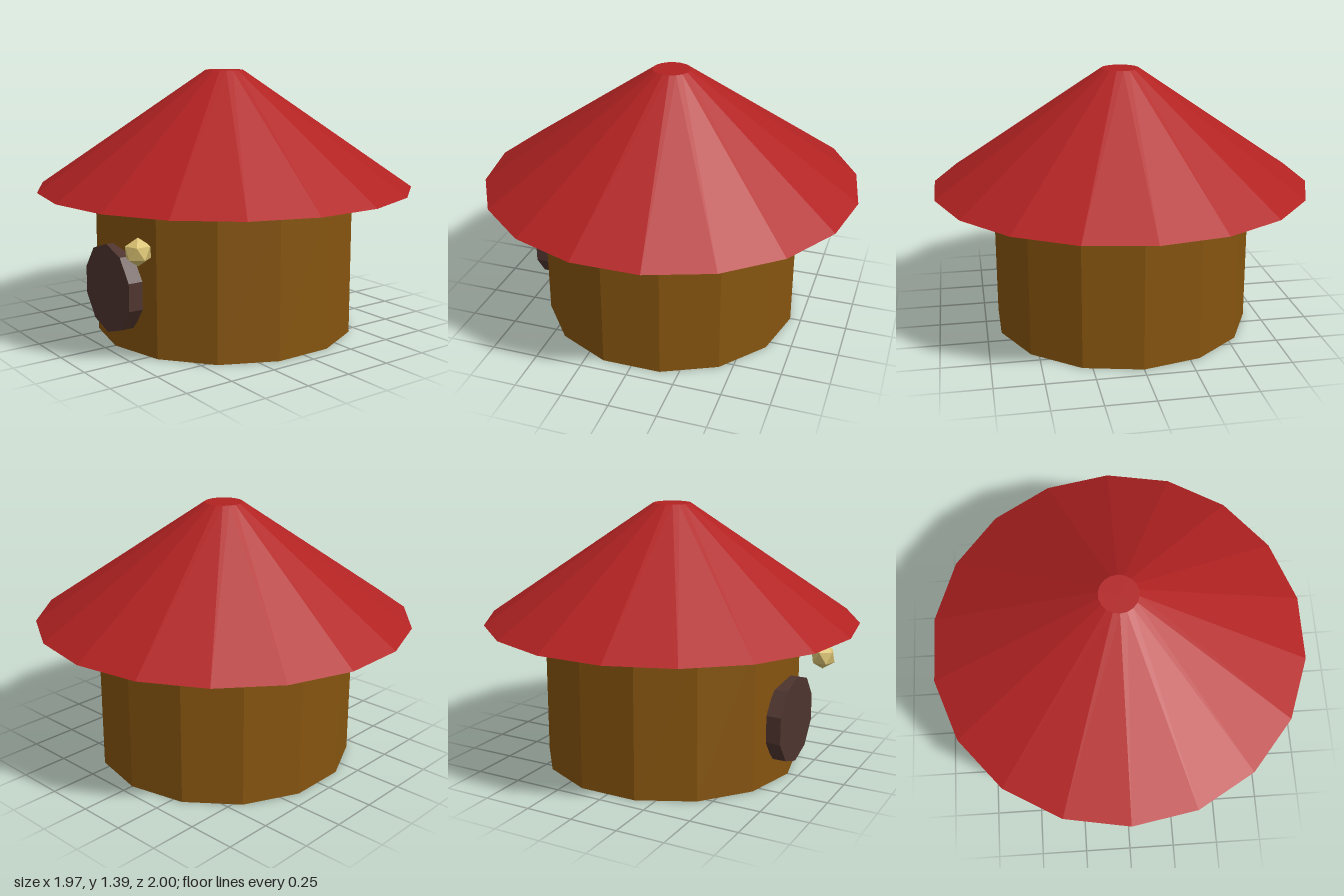
import * as THREE from 'three';

const flat = (name, color) => {
  const m = new THREE.MeshStandardMaterial({ color, flatShading: true });
  m.name = name;
  return m;
};

export function createModel() {
  const group = new THREE.Group();
  group.name = 'roundHut';

  const add = (name, geometry, material, x, y, z) => {
    const mesh = new THREE.Mesh(geometry, material);
    mesh.name = name;
    mesh.position.set(x, y, z);
    group.add(mesh);
  };

  const wallHeight = 0.772, roofHeight = 0.615;

  // Fourteen-sided round wall
  add('wall', new THREE.CylinderGeometry(0.692, 0.692, wallHeight, 14),
    flat('woodBrown', 0x85540f), 0, wallHeight / 2, 0);

  // Wide conical roof with a small flat top
  add('roof', new THREE.CylinderGeometry(0.1, 1, roofHeight, 18),
    flat('roofRed', 0xb22222), 0, wallHeight + roofHeight / 2, 0);

  // Ten-sided round door, half sunk into the wall
  const door = new THREE.CylinderGeometry(0.23, 0.23, 0.077, 10).rotateX(Math.PI / 2);
  add('door', door, flat('doorBrown', 0x4e342e), 0, 0.31, 0.693);

  // Faceted lantern beside the door, standing on a corner
  const lantern = new THREE.IcosahedronGeometry(0.07, 0)
    .rotateZ(Math.atan(2 / (1 + Math.sqrt(5))));
  add('lantern', lantern, flat('lanternYellow', 0xd8c070), 0.336, 0.567, 0.745);

  return group;
}
